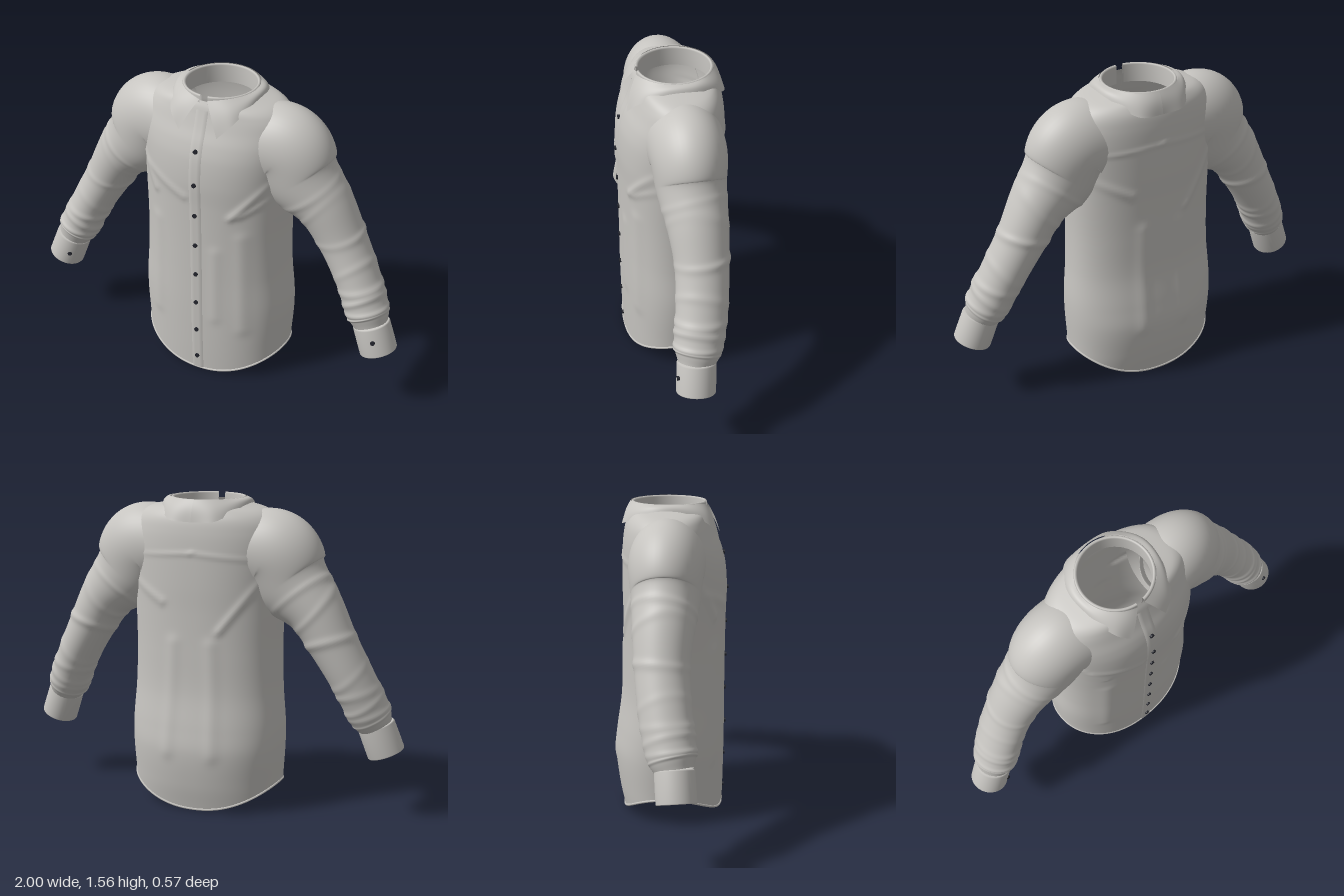
import * as THREE from 'three';

// Colours
const cloth = new THREE.MeshStandardMaterial({ color: 0xc6c4c0, side: THREE.DoubleSide });
cloth.name = 'grey cloth';
const dark = new THREE.MeshStandardMaterial({ color: 0x23252d });
dark.name = 'dark button';

const V = (x, y, z) => new THREE.Vector3(x, y, z);
const gauss = (d, w) => Math.exp(-(d * d) / (w * w));

// Smooth surface from f(u, v); front side is du x dv
function grid(nu, nv, f, closed = false) {
  const cols = closed ? nu : nu + 1, pos = [], idx = [];
  for (let j = 0; j <= nv; j++)
    for (let i = 0; i < cols; i++) pos.push(...f(i / nu, j / nv));
  for (let j = 0; j < nv; j++)
    for (let i = 0; i < nu; i++) {
      const k = (i + 1) % cols;
      const a = j * cols + i, b = j * cols + k, c = b + cols, d = a + cols;
      idx.push(a, b, c, a, c, d);
    }
  const g = new THREE.BufferGeometry();
  g.setAttribute('position', new THREE.Float32BufferAttribute(pos, 3));
  g.setIndex(idx);
  g.computeVertexNormals();
  return g;
}

// Torso profile rows: height, half width, front depth, back depth
const rows = [
  [0, 0.385, 0.258, 0.235], [0.13, 0.39, 0.262, 0.262], [0.3, 0.4, 0.265, 0.28],
  [0.42, 0.4, 0.266, 0.268], [0.6, 0.386, 0.266, 0.243], [0.8, 0.38, 0.267, 0.237],
  [1.0, 0.383, 0.27, 0.237], [1.13, 0.385, 0.274, 0.24], [1.25, 0.392, 0.265, 0.24],
  [1.33, 0.395, 0.245, 0.238], [1.4, 0.385, 0.217, 0.232], [1.46, 0.357, 0.196, 0.22],
  [1.5, 0.3, 0.183, 0.2], [1.527, 0.185, 0.17, 0.185],
];
function profile(y, c) {
  let i = 0;
  while (i < rows.length - 2 && y > rows[i + 1][0]) i++;
  const slope = k => {
    const a = rows[Math.max(k - 1, 0)], b = rows[Math.min(k + 1, rows.length - 1)];
    return (b[c] - a[c]) / (b[0] - a[0]);
  };
  const p = rows[i], q = rows[i + 1], h = q[0] - p[0];
  const t = THREE.MathUtils.clamp((y - p[0]) / h, 0, 1), t2 = t * t, t3 = t2 * t;
  return p[c] * (2 * t3 - 3 * t2 + 1) + q[c] * (3 * t2 - 2 * t3)
    + h * (slope(i) * (t3 - 2 * t2 + t) + slope(i + 1) * (t3 - t2));
}

// Cloth folds as soft ridges: side, x1, y1, x2, y2, height, width
const folds = [
  [1, 0.18, 0.97, 0.34, 1.15, 0.011, 0.018], [1, 0.22, 0.98, 0.36, 1.08, 0.007, 0.016],
  [1, -0.33, 1.17, -0.24, 1.02, 0.011, 0.018], [1, -0.3, 1.14, -0.06, 1.04, 0.007, 0.018],
  [1, 0.1, 0.35, 0.1, 0.75, 0.005, 0.03], [1, 0.24, 0.3, 0.23, 0.85, 0.007, 0.035],
  [1, -0.25, 0.3, -0.24, 0.85, 0.007, 0.035], [-1, 0.34, 1.14, 0.16, 1.05, 0.009, 0.02],
  [-1, -0.34, 1.18, -0.14, 0.92, 0.009, 0.02], [-1, 0.36, 1.27, 0, 1.3, 0.004, 0.012],
  [-1, -0.36, 1.27, 0, 1.3, 0.004, 0.012], [-1, 0.12, 0.3, 0.1, 0.85, 0.007, 0.035],
  [-1, -0.12, 0.3, -0.1, 0.85, 0.007, 0.035],
];
function torsoZ(x, y, side) {
  const n = 2.2, k = Math.max(0, 1 - Math.pow(Math.min(1, Math.abs(x / profile(y, 1))), n));
  let z = profile(y, side > 0 ? 2 : 3) * Math.pow(k, 1 / n);
  for (const [s, x1, y1, x2, y2, h, w] of folds) {
    if (s !== side) continue;
    const dx = x2 - x1, dy = y2 - y1;
    const t = THREE.MathUtils.clamp(((x - x1) * dx + (y - y1) * dy) / (dx * dx + dy * dy), 0, 1);
    z += h * Math.sqrt(k) * gauss(Math.hypot(x - x1 - dx * t, y - y1 - dy * t), w);
  }
  return side * z;
}
function torsoPoint(u, v) {
  const a = u * Math.PI * 2, c = Math.cos(a), base = 1.527 * (1 - Math.pow(1 - v, 1.6));
  const y = base + 0.13 * c * c * Math.max(0, 1 - base / 0.6); // hem rises at the sides
  const x = profile(y, 1) * Math.sign(c) * Math.pow(Math.abs(c), 2 / 2.2);
  return [x, y, torsoZ(x, y, Math.sin(a) > 0 ? -1 : 1)];
}

// Sleeve stations: centre x, y, z, radius in the front plane, radius in depth
const stations = [
  [0.22, 1.3, 0, 0.2, 0.185], [0.355, 1.275, -0.005, 0.225, 0.18], [0.43, 1.16, -0.003, 0.2, 0.165],
  [0.555, 1.03, -0.008, 0.145, 0.145], [0.655, 0.865, -0.008, 0.12, 0.128],
  [0.755, 0.685, 0.012, 0.108, 0.123], [0.835, 0.515, 0.045, 0.105, 0.114], [0.862, 0.455, 0.06, 0.084, 0.088],
];
// Rolls along the sleeve: position, height, width, tilt
const rolls = [
  [0.36, 0.005, 0.012, 0.02], [0.44, 0.004, 0.014, -0.03], [0.56, 0.007, 0.014, 0.02], [0.69, 0.004, 0.014, -0.02],
  [0.755, 0.007, 0.013, 0.012], [0.8, 0.008, 0.012, -0.01], [0.845, 0.007, 0.012, 0.01], [0.885, 0.007, 0.012, -0.006],
];
function sleeveGeometry(s) {
  const path = new THREE.CatmullRomCurve3(stations.map(p => V(s * p[0], p[1], p[2])));
  const radii = new THREE.CatmullRomCurve3(stations.map(p => V(p[3], p[4], 0)), false, 'catmullrom');
  return grid(48, 140, (u, v) => {
    const a = u * Math.PI * 2, c = path.getPoint(v), t = path.getTangent(v), r = radii.getPoint(v);
    const n = V(0, 0, 1).cross(t).normalize(), b = t.clone().cross(n);
    let bump = 0;
    for (const [at, h, w, tilt] of rolls)
      bump += h * gauss(v - at - tilt * Math.sin(a + s), w) * (0.7 + 0.3 * Math.cos(a - at * 9));
    return c.addScaledVector(n, (r.x + bump) * Math.cos(a))
      .addScaledVector(b, (r.y + bump) * Math.sin(a)).toArray();
  }, true);
}

export function createModel() {
  const shirt = new THREE.Group();
  shirt.name = 'shirt';
  const add = (name, geo, mat = cloth) => {
    const m = new THREE.Mesh(geo, mat);
    m.name = name;
    shirt.add(m);
    return m;
  };

  // Torso, hem and front strip
  add('torso', grid(144, 110, torsoPoint, true));
  const hemPath = new THREE.CatmullRomCurve3(
    Array.from({ length: 72 }, (_, i) => V(...torsoPoint(i / 72, 0))), true);
  add('hem', new THREE.TubeGeometry(hemPath, 144, 0.006, 6, true));
  add('placket', grid(6, 80, (u, v) => {
    const x = (u - 0.5) * 0.07, y = 0.003 + v * 1.485;
    return [x, y, torsoZ(x, y, 1) + (u === 0 || u === 1 ? -0.002 : 0.004)];
  }));

  // Buttons down the front
  const button = (name, x, y, z) => {
    const b = add(name, new THREE.CylinderGeometry(0.011, 0.011, 0.012, 14), dark);
    b.rotation.x = Math.PI / 2;
    b.position.set(x, y, z);
  };
  for (let i = 0; i < 8; i++) {
    const y = 0.08 + i * 0.1743;
    button('frontButton', 0, y, torsoZ(0, y, 1) + 0.006);
  }

  // Collar stand, open at the front
  const stand = [[0.17, 1.46], [0.17, 1.548], [0.175, 1.555], [0.182, 1.555], [0.186, 1.548], [0.186, 1.5]];
  add('collarStand', new THREE.LatheGeometry(
    stand.map(p => new THREE.Vector2(...p)), 64, 0.11, Math.PI * 2 - 0.22)).position.z = -0.01;

  // Folded collar with two points, from back centre to each front tip
  const lower = new THREE.CatmullRomCurve3([
    V(0, 1.45, -0.236), V(0.12, 1.458, -0.226), V(0.215, 1.523, -0.08),
    V(0.212, 1.52, 0.07), V(0.165, 1.455, 0.195), V(0.1, 1.385, 0.238)]);
  for (const s of [1, -1])
    add(s > 0 ? 'leftCollar' : 'rightCollar', grid(48, 10, (u, v) => {
      const a = u * (Math.PI - 0.11), w = s > 0 ? v : 1 - v;
      const top = V(0.188 * Math.sin(a), 1.555 - 0.02 * Math.pow(u, 8), -0.01 - 0.188 * Math.cos(a));
      const p = lower.getPoint(u).lerp(top, w);
      const bulge = 0.006 * Math.sin(w * Math.PI);
      return [s * (p.x + bulge * Math.sin(a)), p.y + bulge, p.z - bulge * Math.cos(a)];
    }));

  // Sleeves and cuffs
  for (const s of [1, -1]) {
    const side = s > 0 ? 'left' : 'right';
    add(side + 'Sleeve', sleeveGeometry(s));
    const a = V(s * 0.915, 0.32, 0.07), b = V(s * 0.862, 0.462, 0.058), len = a.distanceTo(b);
    const wall = [[0.085, len], [0.085, 0.004], [0.088, 0], [0.092, 0], [0.094, 0.004],
      [0.094, 0.06], [0.093, len - 0.006], [0.088, len], [0.07, len + 0.004]];
    const cuff = add(side + 'Cuff', new THREE.LatheGeometry(wall.map(p => new THREE.Vector2(...p)), 40));
    cuff.position.copy(a);
    cuff.quaternion.setFromUnitVectors(V(0, 1, 0), b.clone().sub(a).normalize());
    if (s > 0) button('leftCuffButton', 0.91, 0.415, 0.154);
    else button('rightCuffButton', -0.845, 0.38, 0.146);
  }
  return shirt;
}
